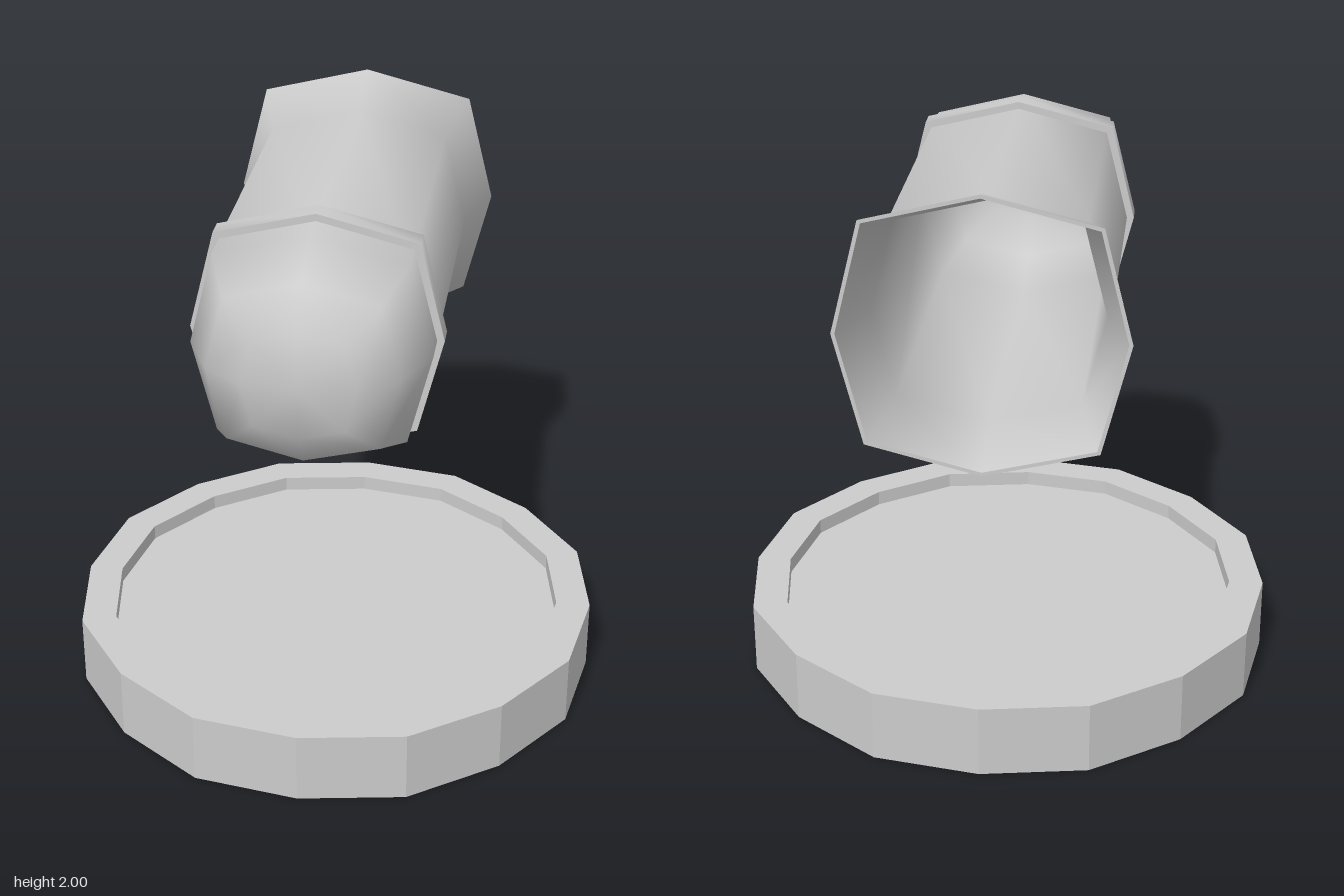
import * as THREE from 'three';
import { mergeVertices } from 'three/addons/utils/BufferGeometryUtils.js';

const smooth = new THREE.MeshStandardMaterial({ color: 0xcccccc });
const flat = new THREE.MeshStandardMaterial({ color: 0xcccccc, flatShading: true });

// Lathe whose in-between corners bulge: factor depends on the angle round the axis.
function polyLathe(profile, sides, bulge) {
  const geo = new THREE.LatheGeometry(profile.map(([r, y]) => new THREE.Vector2(r, y)), sides);
  const pos = geo.attributes.position;
  for (let i = 0; i < pos.count; i++) {
    const x = pos.getX(i), z = pos.getZ(i);
    const f = 1 + bulge * Math.sin(Math.atan2(x, z) * sides / 4) ** 2;
    pos.setXYZ(i, x * f, pos.getY(i), z * f);
  }
  geo.deleteAttribute('uv');
  geo.deleteAttribute('normal');
  const merged = mergeVertices(geo, 1e-5);
  merged.computeVertexNormals();
  return merged;
}

// Eight-sided section of the bell, its axis turned to point forward.
function bellPart(name, profile) {
  const geo = polyLathe(profile, 8, 0.131);
  geo.rotateX(Math.PI / 2);
  const mesh = new THREE.Mesh(geo, smooth);
  mesh.name = name;
  return mesh;
}

export function createModel() {
  const model = new THREE.Group();
  model.name = 'bellOverTray';

  // Round tray with a raised border
  const tray = new THREE.Mesh(polyLathe([
    [0, 0], [0.945, 0], [0.945, 0.255], [0.822, 0.255], [0.822, 0.2], [0, 0.2],
  ], 16, 0.013), flat);
  tray.name = 'tray';
  model.add(tray);

  // Hollow bell lying on its side, open at the back
  const bell = new THREE.Group();
  bell.name = 'bell';
  bell.position.y = 1.525;
  const outer = [[0.475, -0.81], [0.395, -0.575], [0.395, 0.575], [0.31, 0.755], [0.185, 0.842], [0, 0.868]];
  const wall = 0.013;
  const inner = outer.map(([r, z], i) => [Math.max(0, r - wall), i ? z - wall : z]).reverse();
  bell.add(
    bellPart('bellShell', outer),
    bellPart('bellInside', inner),
    bellPart('bellLip', [[0.475 - wall, -0.81], [0.475, -0.81]]),
  );

  // Band round the front of the bell, one smooth strip per side
  const band = [[0.39, 0.382], [0.42, 0.382], [0.42, 0.458], [0.39, 0.458]];
  for (let i = 0; i < 3; i++) bell.add(bellPart('band' + ['Back', 'Rim', 'Front'][i], [band[i], band[i + 1]]));
  model.add(bell);

  return model;
}
